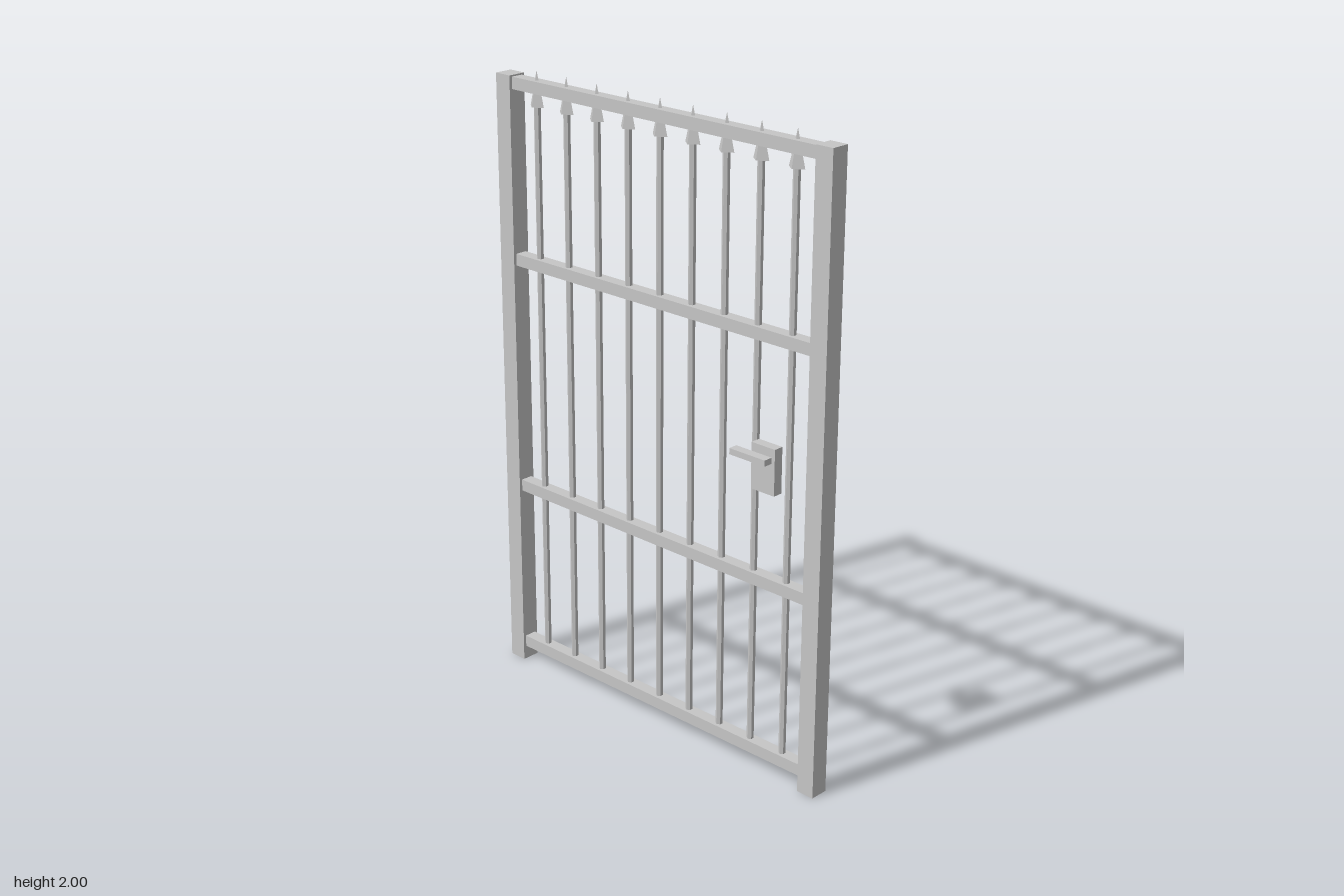
import * as THREE from 'three';

export function createModel() {
  const gate = new THREE.Group();
  gate.name = 'barredGate';
  const steel = new THREE.MeshStandardMaterial({ color: 0xc6c6c6 });
  steel.name = 'light grey steel';
  steel.flatShading = true;

  const midZ = -0.027;

  const add = (name, geometry, x, y, z) => {
    const mesh = new THREE.Mesh(geometry, steel);
    mesh.name = name;
    mesh.position.set(x, y, z);
    gate.add(mesh);
  };

  // Box given by its limits on each axis
  const box = (name, [x0, x1], [y0, y1], [z0, z1]) =>
    add(name, new THREE.BoxGeometry(x1 - x0, y1 - y0, z1 - z0),
      (x0 + x1) / 2, (y0 + y1) / 2, (z0 + z1) / 2);

  // Square side posts
  box('rightPost', [-0.659, -0.599], [0, 1.975], [midZ - 0.03, midZ + 0.03]);
  box('leftPost', [0.599, 0.659], [0, 1.975], [midZ - 0.03, midZ + 0.03]);

  // Horizontal rails between the posts
  [0.065, 0.632, 1.395, 1.951].forEach((y, i) =>
    box('rail' + (i + 1), [-0.599, 0.599], [y - 0.019, y + 0.019], [midZ - 0.02, midZ + 0.02]));

  // Upright bars with slightly flattened four-sided spear tips passing through the top rail
  const barBottom = 0.06, tipBase = 1.89, tipTop = 2;
  const barGeometry = new THREE.CylinderGeometry(0.011, 0.011, tipBase - barBottom, 6);
  const tipGeometry = new THREE.ConeGeometry(0.029, tipTop - tipBase, 4).scale(1, 1, 0.78);
  for (let i = -4; i <= 4; i++) {
    const x = i * 0.1278;
    add('bar', barGeometry, x, (barBottom + tipBase) / 2, midZ);
    add('spearTip', tipGeometry, x, (tipBase + tipTop) / 2, midZ);
  }

  // Lock case and its lever handle on the front
  box('lockCase', [0.412, 0.5], [0.936, 1.08], [-0.008, 0.024]);
  box('leverHandle', [0.354, 0.488], [1.034, 1.053], [0.024, 0.054]);

  return gate;
}
